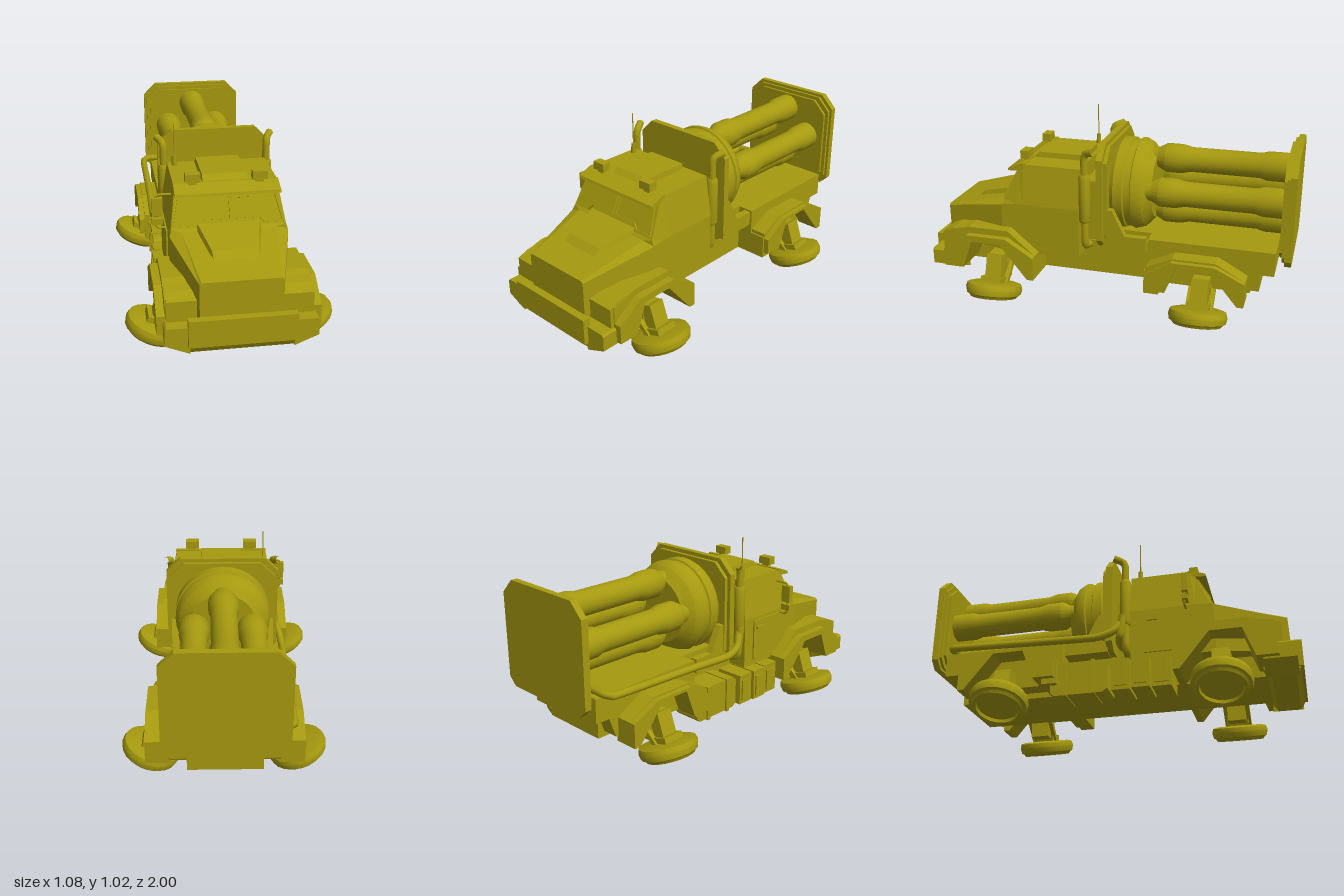
import * as THREE from 'three';
import { toCreasedNormals } from 'three/addons/utils/BufferGeometryUtils.js';

const olive = new THREE.MeshStandardMaterial({ color: 0xa6990f });
olive.name = 'olive paint';

export function createModel() {
  const truck = new THREE.Group();
  truck.name = 'hoverTruck';

  const add = (name, geo, parent = truck) => {
    const mesh = new THREE.Mesh(geo, olive);
    mesh.name = name;
    parent.add(mesh);
    return mesh;
  };
  // Box given by its limits on each axis
  const box = (name, x0, x1, y0, y1, z0, z1, parent) => add(name,
    new THREE.BoxGeometry(x1 - x0, y1 - y0, z1 - z0)
      .translate((x0 + x1) / 2, (y0 + y1) / 2, (z0 + z1) / 2), parent);
  const poly = (pts) => new THREE.Shape(pts.map((p) => new THREE.Vector2(p[0], p[1])));
  // Side outline of [z, y] points, extruded from x0 to x1
  const sideExtrude = (name, pts, x0, x1) => add(name,
    new THREE.ExtrudeGeometry(poly(pts), { depth: x1 - x0, bevelEnabled: false })
      .rotateY(-Math.PI / 2).translate(x1, 0, 0));
  // The same part on the left (s = 1) or right (s = -1)
  const sidePart = (name, pts, s, a, b) => sideExtrude(name, pts, Math.min(s * a, s * b), Math.max(s * a, s * b));
  const sideBox = (name, s, a, b, ...r) => box(name, Math.min(s * a, s * b), Math.max(s * a, s * b), ...r);
  // Loft through mirrored sections [z, [[x, y], ...]], z rising, points bottom to top
  const loft = (name, sections) => {
    const rings = sections.map(([z, half]) => [
      ...half.map(([x, y]) => [x, y, z]),
      ...half.slice().reverse().map(([x, y]) => [-x, y, z])]);
    const v = [];
    const n = rings[0].length;
    const tri = (...t) => t.forEach((p) => v.push(...p));
    for (let k = 0; k + 1 < rings.length; k++) {
      const [a, b] = [rings[k], rings[k + 1]];
      for (let i = 0; i < n; i++) {
        const j = (i + 1) % n;
        tri(a[i], a[j], b[j]);
        tri(a[i], b[j], b[i]);
      }
    }
    const back = rings[0], front = rings[rings.length - 1];
    for (let i = 1; i + 1 < n; i++) {
      tri(back[0], back[i + 1], back[i]);
      tri(front[0], front[i], front[i + 1]);
    }
    const g = new THREE.BufferGeometry();
    g.setAttribute('position', new THREE.Float32BufferAttribute(v, 3));
    g.computeVertexNormals();
    return add(name, g);
  };
  const lathe = (pts, seg) => toCreasedNormals(
    new THREE.LatheGeometry(pts.map((p) => new THREE.Vector2(p[0], p[1])), seg), 0.5);
  const tube = (name, pts, r) => add(name, new THREE.TubeGeometry(
    new THREE.CatmullRomCurve3(pts.map((p) => new THREE.Vector3(...p)), false, 'catmullrom', 0.2), 32, r, 10));

  // Chassis and rear deck
  box('chassis', -0.19, 0.19, 0.17, 0.36, -0.84, 0.9);
  sideExtrude('rearDeck', [[-0.92, 0.31], [-0.84, 0.31], [-0.8, 0.2], [-0.25, 0.2], [-0.25, 0.44], [-0.92, 0.44]], -0.28, 0.28);

  // Cab, hood and roof
  loft('cab', [
    [0.13, [[0.3, 0.29], [0.3, 0.57], [0.265, 0.79]]],
    [0.45, [[0.3, 0.29], [0.3, 0.57], [0.265, 0.79]]],
    [0.48, [[0.3, 0.29], [0.3, 0.57], [0.265, 0.755]]],
    [0.56, [[0.3, 0.29], [0.3, 0.565], [0.29, 0.595]]],
    [0.575, [[0.3, 0.29], [0.3, 0.56], [0.24, 0.58]]],
    [0.94, [[0.2, 0.29], [0.2, 0.48], [0.19, 0.49]]],
  ]);
  loft('hoodScoop', [
    [0.54, [[0.18, 0.54], [0.16, 0.615]]],
    [0.75, [[0.135, 0.5], [0.115, 0.56]]],
    [0.79, [[0.115, 0.5], [0.11, 0.525]]],
  ]);
  sideExtrude('sunVisor', [[0.44, 0.755], [0.54, 0.75], [0.535, 0.765], [0.46, 0.795], [0.44, 0.795]], -0.267, 0.267);
  loft('roofHatch', [
    [0.15, [[0.12, 0.78], [0.115, 0.82]]],
    [0.41, [[0.12, 0.78], [0.115, 0.82]]],
    [0.44, [[0.12, 0.78], [0.115, 0.795]]],
  ]);
  // Raised windscreen frames, laid on the sloping front
  for (const s of [1, -1]) {
    const pane = (k) => [[0.006 + k, 0.035 + k], [0.155, 0.035 + k], [0.18, 0.008 + k], [0.28 - k, 0.008 + k],
      [0.248 - k, 0.165 - k], [0.14, 0.165 - k], [0.125, 0.148 - k], [0.006 + k, 0.148 - k]]
      .map(([x, y]) => [s * x, y]);
    const shape = poly(pane(0));
    shape.holes.push(new THREE.Path(poly(pane(0.009)).getPoints()));
    const frame = add('windscreenFrame', new THREE.ExtrudeGeometry(shape, { depth: 0.009, bevelEnabled: false }));
    frame.position.set(0, 0.595, 0.56);
    frame.rotation.x = -Math.atan2(0.08, 0.16);
  }
  // Roof lamps and aerial
  for (const s of [1, -1]) {
    sideBox('roofLamp', s, 0.132, 0.208, 0.805, 0.848, 0.44, 0.487);
    sideBox('lampFoot', s, 0.15, 0.19, 0.785, 0.806, 0.45, 0.475);
  }
  add('aerialBase', new THREE.CylinderGeometry(0.012, 0.014, 0.06, 10).translate(-0.23, 0.815, 0.175));
  add('aerial', new THREE.CylinderGeometry(0.003, 0.003, 0.19, 6).translate(-0.23, 0.925, 0.175));

  // Right-hand door, mirrors and mirror bracket
  sideExtrude('door', [[0.2, 0.32], [0.45, 0.32], [0.48, 0.4], [0.48, 0.55], [0.2, 0.55]], -0.308, -0.298);
  box('doorHandle', -0.318, -0.305, 0.5, 0.515, 0.22, 0.28);
  tube('mirrorBracket', [[-0.27, 0.73, 0.43], [-0.34, 0.73, 0.43], [-0.355, 0.71, 0.43], [-0.355, 0.57, 0.43],
    [-0.34, 0.55, 0.43], [-0.29, 0.55, 0.43]], 0.006);
  box('largeMirror', -0.375, -0.32, 0.62, 0.715, 0.42, 0.45);
  box('smallMirror', -0.375, -0.32, 0.572, 0.605, 0.42, 0.45);

  // Bumper
  sideExtrude('bumper', [[0.8, 0.19], [0.84, 0.14], [0.96, 0.14], [0.985, 0.18], [0.985, 0.28], [0.8, 0.28]], -0.25, 0.25);
  for (const s of [1, -1]) {
    const end = new THREE.ExtrudeGeometry(poly([[0.25, 0.14], [0.37, 0.19], [0.37, 0.27], [0.36, 0.28], [0.25, 0.28]]
      .map(([x, y]) => [s * x, y])), { depth: 0.165, bevelEnabled: false });
    add('bumperEnd', end.translate(0, 0, 0.81));
  }
  box('bumperPlate', -0.26, 0.26, 0.185, 0.325, 0.96, 1.0);

  // Fenders: an arch with a lower outer lip
  const arch = (c, d, top, skirt) => {
    const p = [[0.235, 0.17], [0.235, 0.3], [0.08, top], [-0.15, top], [-0.29, skirt], [-0.29, 0.2],
      [-0.18, 0.2], [-0.12, 0.36], [0.045, 0.36], [0.2, 0.17]];
    return p.map(([a, y]) => [c - d * a, y]);
  };
  for (const s of [1, -1]) {
    sidePart('frontFender', arch(0.6, 1, 0.43, 0.39), s, 0.19, 0.36);
    sidePart('frontFenderLip', arch(0.6, 1, 0.395, 0.3), s, 0.36, 0.4);
    sidePart('frontFenderNose', [[0.78, 0.27], [0.91, 0.27], [0.91, 0.385], [0.85, 0.41], [0.78, 0.42]], s, 0.19, 0.355);
    sidePart('rearFender', arch(-0.55, -1, 0.385, 0.32).map(([z, y]) => [-1.1 - z, y]), s, 0.27, 0.37);
    sidePart('rearFenderLip', arch(-0.55, -1, 0.375, 0.29).map(([z, y]) => [-1.1 - z, y]), s, 0.37, 0.4);
    sideBox('fenderFrontBlock', s, 0.19, 0.37, 0.17, 0.3, -0.33, -0.25);
  }

  // Tilted hover discs with their struts
  const disc = lathe([[0, -0.022], [0.108, -0.022], [0.112, -0.04], [0.128, -0.04], [0.138, -0.026], [0.15, -0.02],
    [0.157, 0.01], [0.15, 0.035], [0.125, 0.042], [0, 0.046]], 20);
  for (const z of [0.605, -0.55]) {
    for (const s of [1, -1]) {
      const unit = new THREE.Group();
      unit.name = 'hoverUnit';
      unit.position.set(s * 0.39, 0.08, z);
      unit.rotation.z = s * 0.34;
      truck.add(unit);
      add('hoverDisc', disc, unit);
      box('discMount', -0.06, 0.06, 0.035, 0.075, -0.06, 0.06, unit);
      box('strut', -0.035, 0.035, 0.06, 0.2, -0.045, 0.045, unit);
      for (const d of [-0.06, 0.06]) {
        const arm = add('strutArm', new THREE.BoxGeometry(0.025, 0.19, 0.025), unit);
        arm.position.set(-s * 0.06, 0.12, d);
        arm.rotation.z = s * 0.5;
      }
      sideBox('axleArm', s, 0.15, 0.36, 0.2, 0.27, z - 0.045, z + 0.045);
      sideBox('axleBracket', s, 0.25, 0.31, 0.11, 0.22, z - 0.05, z + 0.05);
    }
  }

  // Storage boxes along the right-hand side
  for (const [z0, z1, x] of [[0.25, 0.35, -0.35], [0.145, 0.24, -0.36], [0.04, 0.135, -0.35]]) {
    box('storageBox', x, -0.18, 0.11, 0.28, z0, z1);
    box('storageLid', x - 0.008, x + 0.01, 0.13, 0.25, z0 + 0.015, z1 - 0.015);
  }
  sideExtrude('fuelTank', [[-0.29, 0.13], [-0.27, 0.11], [-0.01, 0.11], [0.015, 0.13], [0.015, 0.27], [-0.01, 0.29],
    [-0.27, 0.29], [-0.29, 0.27]], -0.34, -0.18);
  for (const z of [-0.22, -0.07]) box('tankStrap', -0.35, -0.18, 0.105, 0.295, z, z + 0.02);

  // Exhaust stacks, intake pipe and the long pipe to the rear
  for (const s of [1, -1]) {
    tube('exhaustStack', [[s * 0.2, 0.34, 0.1], [s * 0.265, 0.36, 0.1], [s * 0.28, 0.4, 0.1], [s * 0.28, 0.85, 0.1],
      [s * 0.285, 0.89, 0.085], [s * 0.31, 0.905, 0.04]], 0.02);
    add('muffler', lathe([[0, 0.5], [0.025, 0.5], [0.031, 0.515], [0.031, 0.755], [0.025, 0.77], [0, 0.77]], 16)
      .translate(s * 0.28, 0, 0.1));
  }
  tube('intakePipe', [[-0.15, 0.42, 0.06], [-0.25, 0.42, 0.06], [-0.3, 0.44, 0.075], [-0.3, 0.55, 0.09]], 0.022);
  tube('longPipe', [[-0.2, 0.46, -0.88], [-0.3, 0.46, -0.88], [-0.33, 0.45, -0.84], [-0.33, 0.43, -0.3],
    [-0.335, 0.42, -0.05], [-0.325, 0.45, 0.04], [-0.29, 0.53, 0.09]], 0.02);

  // Launcher end plates with cut corners
  const plate = (name, k, z0, z1) => {
    const [w, a, b, c] = [0.305 - k, 0.365 + k, 0.935 - k, 0.075];
    loft(name, [z0, z1].map((z) => [z, [[w - c * 0.6, a], [w, a + c * 0.6], [w, b - c], [w - c, b]]]));
  };
  plate('rearPlate', 0, -1.0, -0.965);
  plate('rearPlateStep', 0.015, -0.966, -0.95);
  plate('rearPlateInner', 0.035, -0.951, -0.935);
  plate('frontPlate', 0, -0.005, 0.03);
  plate('frontPlateStep', 0.02, -0.025, -0.004);

  // Launcher drum, four tubes, mount and cradle
  add('launcherDrum', lathe([[0, -0.24], [0.18, -0.24], [0.2, -0.22], [0.235, -0.195], [0.255, -0.155], [0.255, -0.14],
    [0.245, -0.135], [0.245, -0.1], [0.255, -0.095], [0.255, -0.045], [0.24, -0.02], [0, -0.02]], 32)
    .rotateX(Math.PI / 2).translate(0, 0.652, 0));
  const barrel = lathe([[0.062, -0.95], [0.078, -0.94], [0.078, -0.83], [0.067, -0.79], [0.067, -0.42], [0.079, -0.37],
    [0.079, -0.285], [0.055, -0.24], [0.055, -0.2]], 20).rotateX(Math.PI / 2);
  for (const [dx, dy] of [[0, 1], [1, 0], [0, -1], [-1, 0]]) {
    add('launchTube', barrel).position.set(dx * 0.153, 0.668 + dy * 0.145, 0);
  }
  box('launcherMount', -0.18, 0.18, 0.36, 0.7, 0.02, 0.135);
  box('launcherBase', -0.19, 0.19, 0.35, 0.44, -0.26, 0.02);
  for (const s of [1, -1]) {
    sidePart('cradle', [[-0.235, 0.36], [0, 0.36], [0, 0.58], [-0.05, 0.58], [-0.12, 0.44], [-0.235, 0.44]], s, 0.24, 0.28);
    sideBox('cradleFoot', s, 0.17, 0.27, 0.36, 0.4, -0.235, 0);
  }
  return truck;
}
